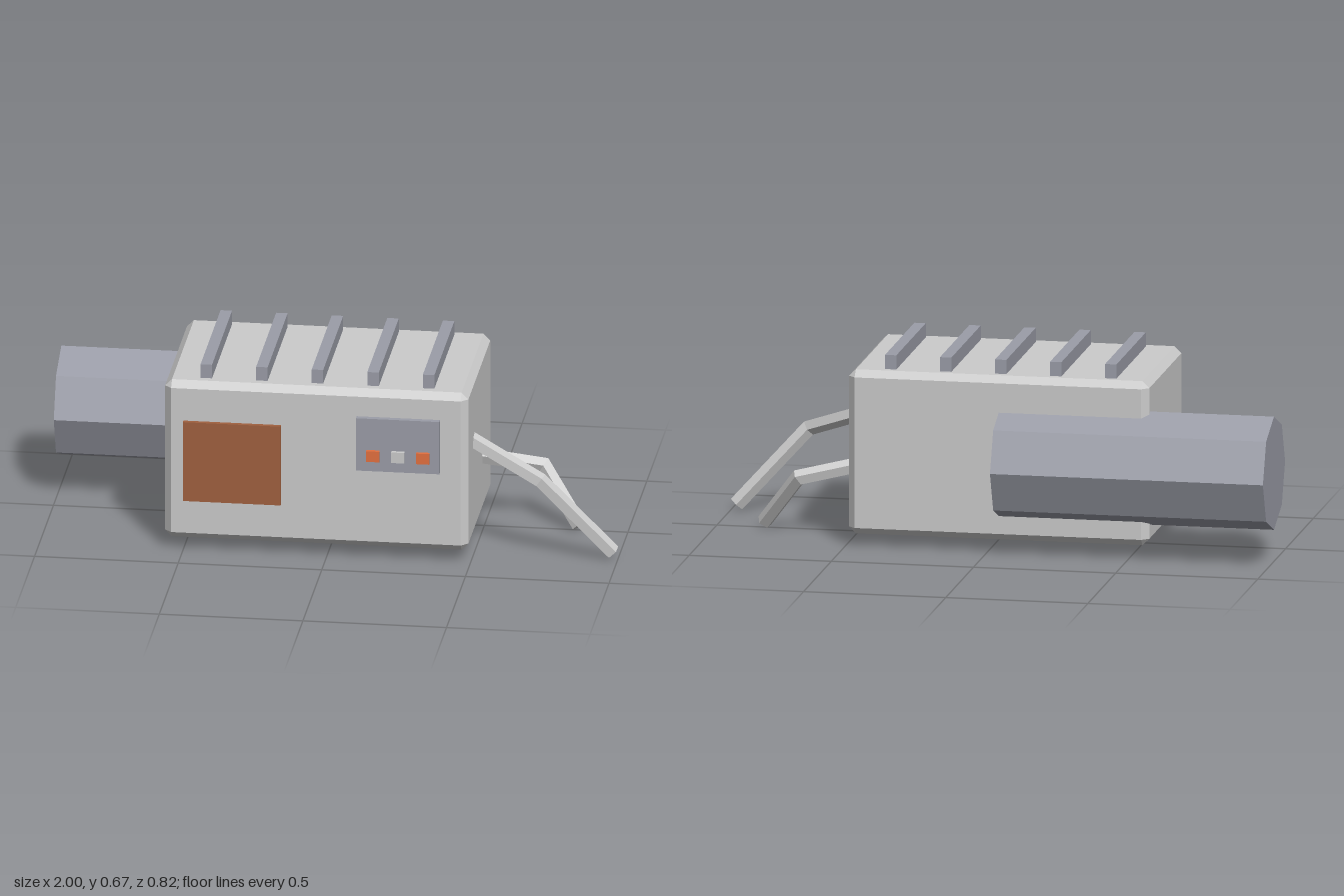
import * as THREE from 'three';
import { ConvexGeometry } from 'three/addons/geometries/ConvexGeometry.js';

const mat = (color) => new THREE.MeshStandardMaterial({ color, flatShading: true });
const V = (x, y, z) => new THREE.Vector3(x, y, z);

export function createModel() {
  const group = new THREE.Group();
  const grey = mat(0xcccccc), steel = mat(0x9b9da8), rust = mat(0xa0603f), orange = mat(0xe4703f);

  const add = (name, geometry, material) => {
    const mesh = new THREE.Mesh(geometry, material);
    mesh.name = name;
    group.add(mesh);
    return mesh;
  };
  // Box given by its minimum and maximum corners
  const box = (name, material, [x0, y0, z0], [x1, y1, z1]) =>
    add(name, new THREE.BoxGeometry(x1 - x0, y1 - y0, z1 - z0), material)
      .position.set((x0 + x1) / 2, (y0 + y1) / 2, (z0 + z1) / 2);

  // Main housing: a box with every edge chamfered
  const half = V(0.528, 0.29, 0.3125), c = 0.024;
  const corners = [];
  for (const sx of [-1, 1]) for (const sy of [-1, 1]) for (const sz of [-1, 1]) {
    for (let axis = 0; axis < 3; axis++) {
      const p = half.clone().subScalar(c);
      p.setComponent(axis, half.getComponent(axis));
      corners.push(p.multiply(V(sx, sy, sz)));
    }
  }
  add('housing', new ConvexGeometry(corners), grey).position.set(-0.037, 0.34, 0.0625);

  // Octagonal tank along the back
  const tank = add('tank', new THREE.CylinderGeometry(0.2, 0.2, 0.96, 8), steel);
  tank.rotation.z = Math.PI / 2;
  tank.position.set(-0.52, 0.32, -0.208);

  // Cooling ribs across the roof
  for (let i = 0; i < 5; i++) {
    const x = -0.425 + i * 0.1935;
    box('coolingRib', steel, [x - 0.02, 0.6, -0.204], [x + 0.02, 0.68, 0.326]);
  }

  // Front hatch, control panel and buttons
  box('hatch', rust, [-0.498, 0.197, 0.36], [-0.158, 0.488, 0.391]);
  box('controlPanel', steel, [0.105, 0.341, 0.36], [0.395, 0.534, 0.395]);
  [orange, grey, orange].forEach((material, i) => {
    const x = 0.165 + i * 0.087;
    box('button', material, [x - 0.023, 0.38, 0.385], [x + 0.023, 0.419, 0.409]);
  });

  // Bent five-sided pipe, mitred at its elbow
  const pipe = (name, start, bend, end, r = 0.028) => {
    const d1 = bend.clone().sub(start).normalize(), d2 = end.clone().sub(bend).normalize();
    const miter = d1.clone().add(d2).normalize();
    const turn = new THREE.Quaternion().setFromUnitVectors(V(0, 1, 0), d1);
    const geo = new THREE.CylinderGeometry(r, r, 2, 5, 2);
    const pos = geo.attributes.position;
    for (let i = 0; i < pos.count; i++) {
      const level = Math.round(pos.getY(i));
      const o = V(pos.getX(i), 0, pos.getZ(i)).applyQuaternion(turn);
      if (level >= 0) o.addScaledVector(d1, -o.dot(miter) / d1.dot(miter));
      if (level > 0) o.addScaledVector(d2, -o.dot(d2));
      o.add([start, bend, end][level + 1]);
      pos.setXYZ(i, o.x, o.y, o.z);
    }
    geo.computeVertexNormals();
    add(name, geo, grey);
  };
  pipe('frontPipe', V(0.44, 0.415, 0.18), V(0.735, 0.3, 0.305), V(0.98, 0.03, 0.255));
  pipe('backPipe', V(0.44, 0.262, -0.028), V(0.695, 0.208, -0.09), V(0.833, 0.027, 0.005));

  return group;
}
